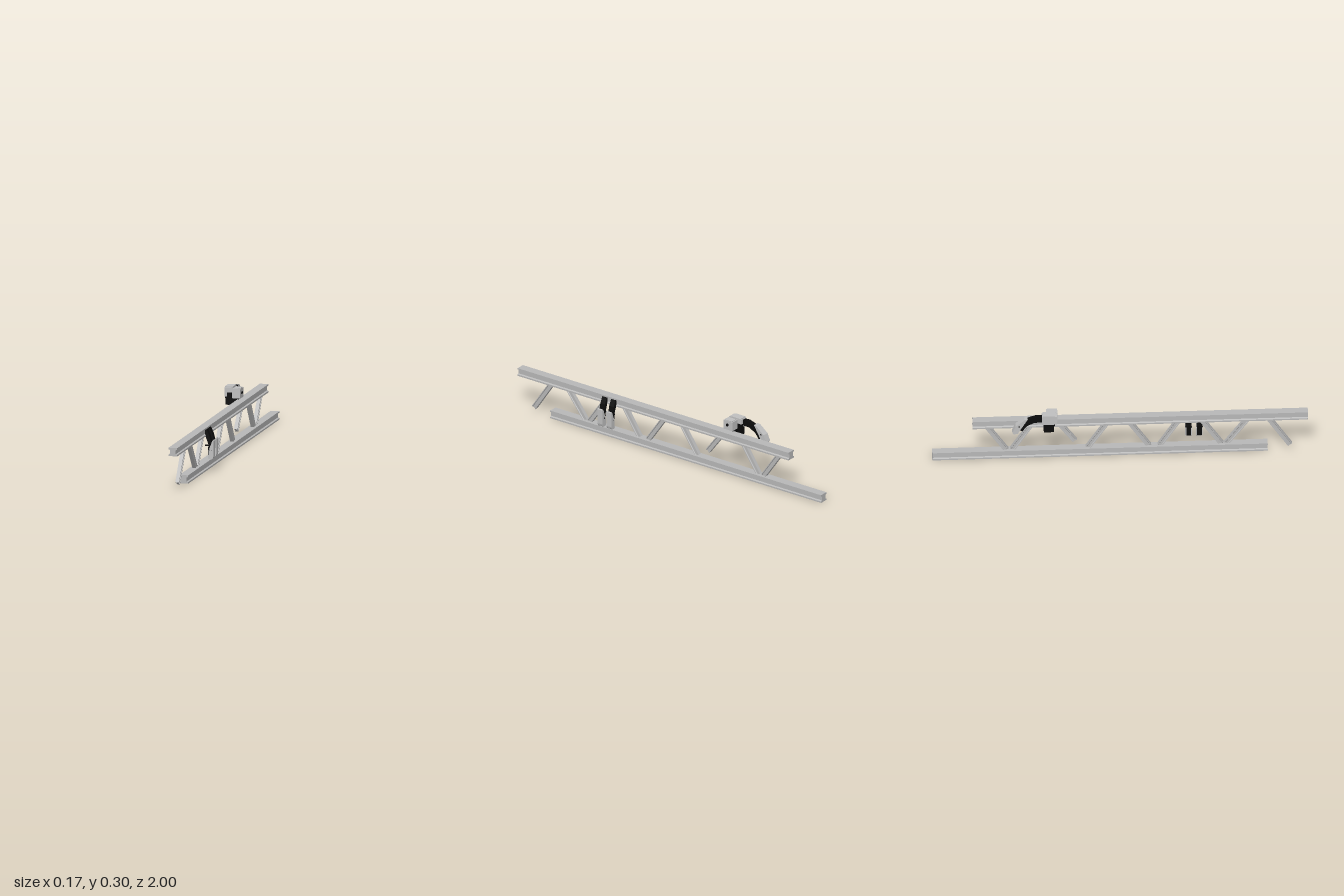
import * as THREE from 'three';

const mat = (name, color) => {
  const m = new THREE.MeshStandardMaterial({ color });
  m.name = name;
  return m;
};

export function createModel() {
  const root = new THREE.Group();
  root.name = 'trussWithClamps';
  const beamGrey = mat('beamGrey', 0xb8b8b8);
  const clampGrey = mat('clampGrey', 0xbfbfbf);
  const black = mat('black', 0x0b0b0b);

  const add = (parent, name, geo, material) => {
    const mesh = new THREE.Mesh(geo, material);
    mesh.name = name;
    parent.add(mesh);
    return mesh;
  };
  const box = (parent, name, material, x0, x1, y0, y1, z0, z1) => {
    const mesh = add(parent, name, new THREE.BoxGeometry(x1 - x0, y1 - y0, z1 - z0), material);
    mesh.position.set((x0 + x1) / 2, (y0 + y1) / 2, (z0 + z1) / 2);
    return mesh;
  };
  // Extrudes an outline of [x, y] points along z from z0 to z1
  const extrudeZ = (pts, z0, z1) => {
    const shape = new THREE.Shape(pts.map(p => new THREE.Vector2(p[0], p[1])));
    return new THREE.ExtrudeGeometry(shape, { depth: z1 - z0, bevelEnabled: false }).translate(0, 0, z0);
  };
  // Extrudes an outline of [-z, y] points along x
  const extrudeX = (pts, x0, x1) => extrudeZ(pts, x0, x1).rotateY(Math.PI / 2);
  // Flanged section with sloping flange roots, centred on the origin
  const iProfile = (w, h, web, lip, root) => {
    const half = [[w, -h], [w, -h + lip], [web, -h + root], [web, h - root], [w, h - lip], [w, h]];
    return [...half, ...half.map(([x, y]) => [-x, -y])];
  };
  const pin = (parent, name, material, r, len, x, y, z, axis) => {
    const geo = new THREE.CylinderGeometry(r, r, len, 16);
    if (axis === 'x') geo.rotateZ(Math.PI / 2);
    if (axis === 'z') geo.rotateX(Math.PI / 2);
    add(parent, name, geo, material).position.set(x, y, z);
  };

  // Two staggered flanged beams
  const midX = 0.014;
  const beamShape = iProfile(0.024, 0.0225, 0.016, 0.008, 0.012);
  for (const [name, y, z0, z1] of [['upperBeam', 0.2135, -0.785, 1], ['lowerBeam', 0.0245, -1, 0.785]]) {
    add(root, name, extrudeZ(beamShape, z0, z1), beamGrey).position.set(midX, y, 0);
  }

  // Diagonal struts: z at top, z at foot, y at foot
  const strutShape = iProfile(0.01, 0.0135, 0.006, 0.004, 0.007);
  const struts = new THREE.Group();
  struts.name = 'struts';
  root.add(struts);
  for (const [zTop, zFoot, yFoot] of [
    [0.79, 0.905, 0.026], [0.68, 0.565, 0.045], [0.435, 0.54, 0.045], [0.31, 0.21, 0.045], [0.05, 0.155, 0.045],
    [-0.07, -0.172, 0.045], [-0.32, -0.24, 0.09], [-0.475, -0.575, 0.045], [-0.71, -0.605, 0.045]]) {
    const a = new THREE.Vector3(midX, 0.196, zTop);
    const b = new THREE.Vector3(midX, yFoot, zFoot);
    const strut = add(struts, 'strut', extrudeZ(strutShape, 0, a.distanceTo(b)), beamGrey);
    strut.position.copy(a);
    strut.lookAt(b);
  }

  // Pair of hanging side levers
  for (const z of [0.425, 0.367]) {
    const lever = new THREE.Group();
    lever.name = 'sideLever';
    lever.position.z = z;
    root.add(lever);
    add(lever, 'leverArm', extrudeZ([[0.034, 0.195], [0.045, 0.17], [0.053, 0.145], [0.05, 0.125],
      [0.068, 0.125], [0.069, 0.15], [0.057, 0.195], [0.042, 0.228], [0.034, 0.228]], -0.015, 0.015), black);
    add(lever, 'leverHandle', extrudeZ([[0.051, 0.074], [0.056, 0.069], [0.071, 0.069], [0.077, 0.075],
      [0.08, 0.085], [0.082, 0.168], [0.079, 0.174], [0.074, 0.169], [0.062, 0.137], [0.053, 0.115]], -0.017, 0.017), clampGrey);
    box(lever, 'leverGrip', black, 0.049, 0.055, 0.075, 0.13, -0.012, 0.012);
    box(lever, 'leverPeg', black, 0.032, 0.054, 0.138, 0.144, -0.006, 0.006);
    pin(lever, 'pivotRim', black, 0.005, 0.036, 0.064, 0.118, 0, 'z');
    pin(lever, 'pivot', clampGrey, 0.0036, 0.037, 0.064, 0.118, 0, 'z');
  }

  // Top clamp: grey head with a stepped plan
  const clamp = new THREE.Group();
  clamp.name = 'topClamp';
  root.add(clamp);
  add(clamp, 'clampHead', extrudeZ([[-0.08, 0.25], [-0.065, 0.25], [-0.065, 0.272], [-0.036, 0.272],
    [-0.036, 0.299], [-0.08, 0.299]], -0.42, -0.34), clampGrey);
  box(clamp, 'clampJaw', clampGrey, -0.036, 0.009, 0.243, 0.294, -0.395, -0.335);
  box(clamp, 'headCap', clampGrey, -0.08, -0.036, 0.299, 0.303, -0.415, -0.35);
  box(clamp, 'jawCap', clampGrey, -0.03, 0.007, 0.294, 0.298, -0.39, -0.345);
  pin(clamp, 'jawKnob', black, 0.008, 0.008, 0.0095, 0.272, -0.362, 'x');

  // Black mounting block and bar under the head
  box(clamp, 'mountBlock', black, -0.078, -0.044, 0.202, 0.25, -0.41, -0.355);
  box(clamp, 'mountPost', black, -0.0648, -0.045, 0.25, 0.273, -0.41, -0.342);
  box(clamp, 'mountBar', black, -0.045, -0.003, 0.218, 0.24, -0.39, -0.35);
  pin(clamp, 'blockKnob', black, 0.004, 0.008, -0.08, 0.24, -0.37, 'x');

  // Curved arm and drooping handle
  add(clamp, 'clampArm', extrudeX([[0.4, 0.262], [0.46, 0.262], [0.5, 0.242], [0.525, 0.21], [0.545, 0.22],
    [0.53, 0.255], [0.5, 0.28], [0.45, 0.296], [0.4, 0.294]], -0.074, -0.05), black);
  add(clamp, 'clampHandle', extrudeX([[0.525, 0.24], [0.548, 0.2], [0.57, 0.196], [0.578, 0.205], [0.56, 0.245],
    [0.512, 0.284], [0.496, 0.287]], -0.081, -0.045), clampGrey);
  pin(clamp, 'handlePivot', black, 0.004, 0.038, -0.063, 0.243, -0.542, 'x');

  return root;
}
